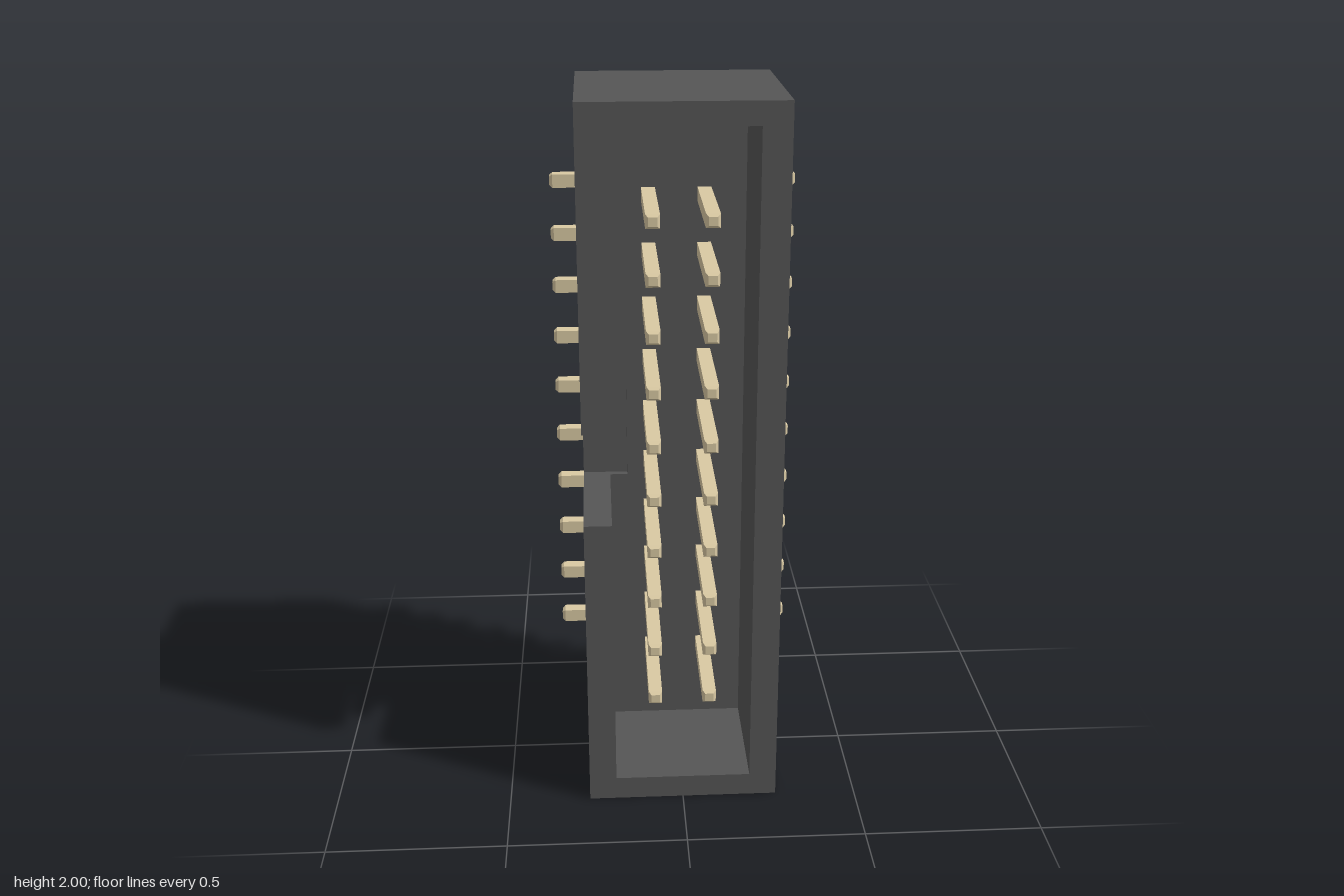
import * as THREE from 'three';
import { toCreasedNormals } from 'three/addons/utils/BufferGeometryUtils.js';

const HALF_W = 0.27, HEIGHT = 2, FRONT = 0.29, BACK = -0.253;
const IN_W = 0.193, IN_LOW = 0.067, IN_HIGH = 1.938;   // cavity opening
const FLOOR = -0.07, KEY_BACK = -0.09;                 // cavity and key slot depths
const KEY_LOW = 0.87, KEY_HIGH = 1.135, KEY_X = -0.143;
const PIN = 0.038, ROWS = 10, FIRST_ROW = 0.31, PITCH = 0.1539;

// Extrudes an xy outline between two z levels
function slab(points, z0, z1) {
  const shape = new THREE.Shape(points.map(([x, y]) => new THREE.Vector2(x, y)));
  const geo = new THREE.ExtrudeGeometry(shape, { depth: z1 - z0, bevelEnabled: false });
  return geo.translate(0, 0, z0);
}

// Square pin lofted through stations: inner x/z, outer x/z, half height
function pinGeometry() {
  const h = PIN / 2, tip = 0.012, xi = 0.096, xo = xi - PIN;
  const inset = h - tip, cham = 0.009, frontZ = 0.26, endX = 0.35, zo = BACK - PIN;
  const stations = [
    [xi - inset, frontZ, xo + inset, frontZ, tip],
    [xi, frontZ - cham, xo, frontZ - cham, h],
  ];
  for (let i = 0; i <= 6; i++) {
    const a = (i / 6) * Math.PI / 2;
    stations.push([xi, BACK, xi - PIN * Math.cos(a), BACK - PIN * Math.sin(a), h]);
  }
  stations.push([endX - cham, BACK, endX - cham, zo, h]);
  stations.push([endX, BACK - inset, endX, zo + inset, tip]);

  const pos = [], idx = [];
  for (const [ax, az, bx, bz, k] of stations) {
    pos.push(ax, k, az, ax, -k, az, bx, -k, bz, bx, k, bz);
  }
  const last = (stations.length - 1) * 4;
  for (let s = 0; s < last; s += 4) {
    for (let i = 0; i < 4; i++) {
      const j = (i + 1) % 4;
      idx.push(s + i, s + j, s + 4 + i, s + j, s + 4 + j, s + 4 + i);
    }
  }
  idx.push(0, 3, 2, 0, 2, 1, last, last + 1, last + 2, last, last + 2, last + 3);
  const geo = new THREE.BufferGeometry();
  geo.setAttribute('position', new THREE.Float32BufferAttribute(pos, 3));
  geo.setIndex(idx);
  return toCreasedNormals(geo, 0.4);
}

export function createModel() {
  const model = new THREE.Group();
  const plastic = new THREE.MeshStandardMaterial({ color: 0x555555 });
  const metal = new THREE.MeshStandardMaterial({ color: 0xd9c9a3 });

  // Housing: solid back, floor notched by the key slot, and open wall
  const housing = new THREE.Group();
  housing.name = 'housing';
  const add = (name, geo) => {
    const mesh = new THREE.Mesh(geo, plastic);
    mesh.name = name;
    housing.add(mesh);
  };
  const L = -HALF_W, R = HALF_W;
  add('housingBack', slab([[L, 0], [R, 0], [R, HEIGHT], [L, HEIGHT]], BACK, KEY_BACK));
  add('housingFloor', slab([
    [L, 0], [R, 0], [R, HEIGHT], [L, HEIGHT],
    [L, KEY_HIGH], [KEY_X, KEY_HIGH], [KEY_X, KEY_LOW], [L, KEY_LOW],
  ], KEY_BACK, FLOOR));
  add('housingWall', slab([
    [L, 0], [R, 0], [R, HEIGHT], [L, HEIGHT], [L, KEY_HIGH], [-IN_W, KEY_HIGH],
    [-IN_W, IN_HIGH], [IN_W, IN_HIGH], [IN_W, IN_LOW], [-IN_W, IN_LOW],
    [-IN_W, KEY_LOW], [L, KEY_LOW],
  ], FLOOR, FRONT));
  model.add(housing);

  // Two columns of bent pins, the right one turned half way round
  const geo = pinGeometry();
  for (const side of ['left', 'right']) {
    const column = new THREE.Group();
    column.name = side + 'Pins';
    for (let i = 0; i < ROWS; i++) {
      const pin = new THREE.Mesh(geo, metal);
      pin.name = side + 'Pin' + (i + 1);
      pin.position.y = FIRST_ROW + i * PITCH;
      if (side === 'right') pin.rotation.z = Math.PI;
      column.add(pin);
    }
    model.add(column);
  }
  return model;
}
